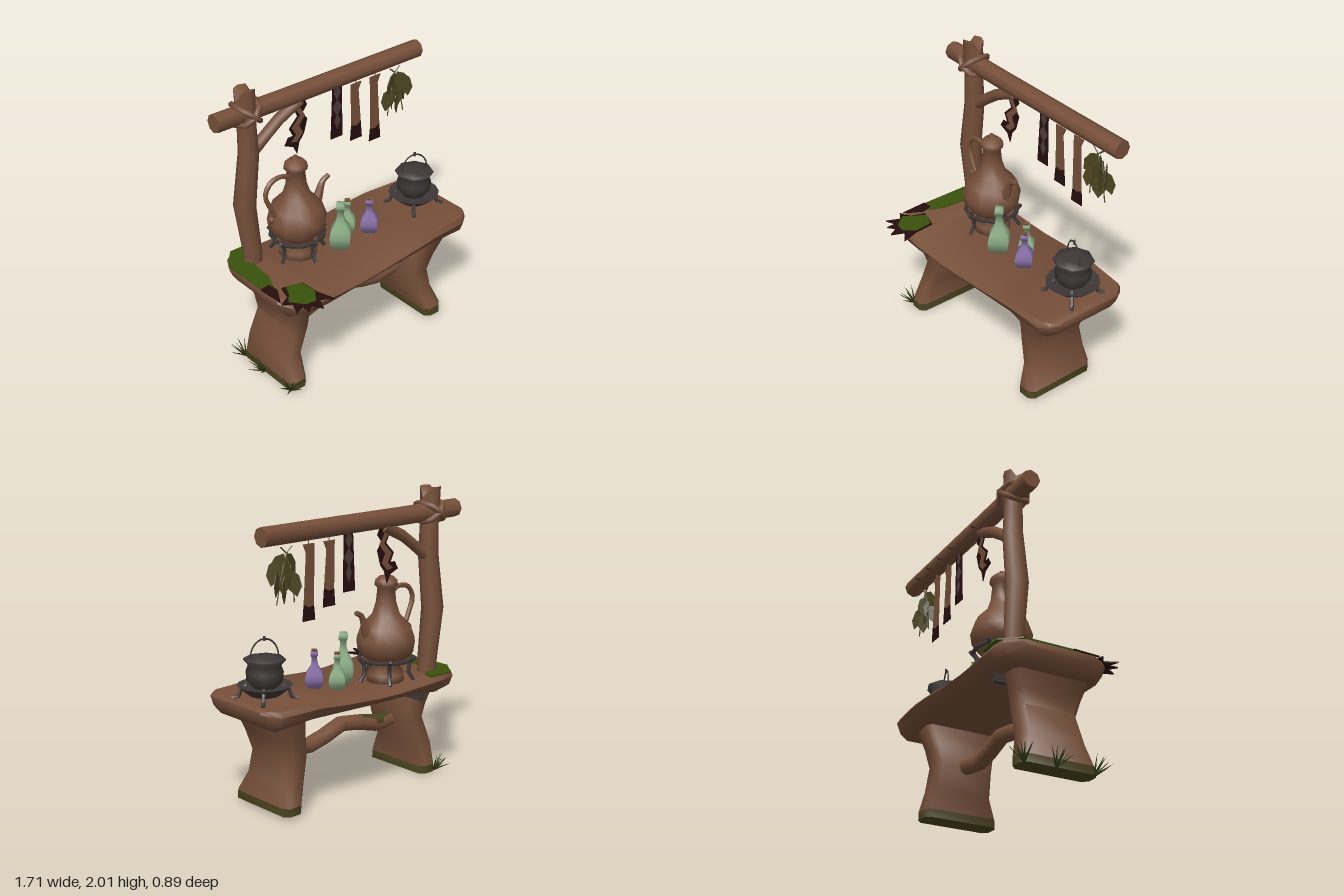
import * as THREE from 'three';
import { toCreasedNormals } from 'three/addons/utils/BufferGeometryUtils.js';

const V = (x, y, z) => new THREE.Vector3(x, y, z);
const material = (name, color) => {
  const m = new THREE.MeshStandardMaterial({ color, side: THREE.DoubleSide });
  m.name = name;
  return m;
};

// Closed skin through rings of points, with fan caps
function loft(rings) {
  const pos = [], n = rings[0].length;
  const tri = (a, b, c) => pos.push(...a.toArray(), ...b.toArray(), ...c.toArray());
  for (let i = 0; i + 1 < rings.length; i++) for (let j = 0; j < n; j++) {
    const k = (j + 1) % n, a = rings[i], b = rings[i + 1];
    tri(a[j], a[k], b[k]);
    tri(a[j], b[k], b[j]);
  }
  const cap = (r, flip) => {
    const c = r.reduce((s, p) => s.add(p), V(0, 0, 0)).divideScalar(n);
    r.forEach((p, j) => flip ? tri(c, r[(j + 1) % n], p) : tri(c, p, r[(j + 1) % n]));
  };
  cap(rings[0], true);
  cap(rings[rings.length - 1], false);
  // turn the skin outward if its signed volume is negative
  let vol = 0;
  const p = i => V(pos[i], pos[i + 1], pos[i + 2]);
  for (let i = 0; i < pos.length; i += 9) vol += p(i).dot(p(i + 3).cross(p(i + 6)));
  if (vol < 0) for (let i = 0; i < pos.length; i += 9) for (let j = 0; j < 3; j++)
    [pos[i + 3 + j], pos[i + 6 + j]] = [pos[i + 6 + j], pos[i + 3 + j]];
  const g = new THREE.BufferGeometry();
  g.setAttribute('position', new THREE.Float32BufferAttribute(pos, 3));
  return toCreasedNormals(g, 0.95);
}

// Rod along a polyline; radius is a number or one value per point
function rodRings(points, radius, sides = 8) {
  return points.map((c, i) => {
    const t = points[Math.min(i + 1, points.length - 1)].clone().sub(points[Math.max(i - 1, 0)]).normalize();
    const u = (Math.abs(t.z) > 0.9 ? V(1, 0, 0) : V(0, 0, 1)).cross(t).normalize();
    const w = t.clone().cross(u), r = Array.isArray(radius) ? radius[i] : radius;
    return Array.from({ length: sides }, (_, j) => {
      const a = j / sides * Math.PI * 2;
      return c.clone().addScaledVector(u, r * Math.cos(a)).addScaledVector(w, r * Math.sin(a));
    });
  });
}
const rod = (points, radius, sides) => loft(rodRings(points, radius, sides));
const flatPath = (list, z) => list.map(([x, y]) => V(x, y, z));
const smooth = (points, n) => new THREE.CatmullRomCurve3(points).getPoints(n);
const lathe = (profile, sides) => toCreasedNormals(
  new THREE.LatheGeometry(profile.map(([r, y]) => new THREE.Vector2(r, y)), sides), 1.7);

// Thin plates, upright (x, y) or lying (x, z)
function plate(points, depth, z = 0) {
  const g = new THREE.ExtrudeGeometry(new THREE.Shape(points.map(p => new THREE.Vector2(...p))),
    { depth, bevelEnabled: false });
  return g.translate(0, 0, z - depth / 2);
}
const lying = (points, depth, y) => plate(points.map(([x, z]) => [x, -z]), depth).rotateX(-Math.PI / 2).translate(0, y, 0);

export function createModel() {
  const root = new THREE.Group();
  const wood = material('wood brown', 0x77503a), iron = material('dark iron', 0x3e3837);
  const olive = material('olive moss', 0x4b4420), moss = material('green moss', 0x3a520c);
  const maroon = material('dark maroon', 0x260d0d), meat = material('grey meat', 0x4e3d3b);
  const green = material('green glass', 0x8fb088), purple = material('purple glass', 0x8a72aa);
  const grass = material('grass green', 0x2e3a12);
  const add = (name, geometry, mat, parent = root) => {
    const m = new THREE.Mesh(geometry, mat);
    m.name = name;
    parent.add(m);
    return m;
  };

  // Table slab: stations of x, bottom, top, back z, front z
  add('tableTop', loft([
    [-0.775, 0.69, 0.745, -0.32, 0.2], [-0.71, 0.615, 0.75, -0.43, 0.3], [-0.6, 0.61, 0.745, -0.45, 0.33],
    [-0.45, 0.625, 0.73, -0.45, 0.34], [-0.2, 0.64, 0.715, -0.45, 0.33], [0, 0.64, 0.72, -0.45, 0.32],
    [0.3, 0.65, 0.745, -0.45, 0.31], [0.5, 0.65, 0.765, -0.435, 0.3], [0.78, 0.62, 0.765, -0.41, 0.28],
    [0.835, 0.66, 0.765, -0.36, 0.24], [0.87, 0.71, 0.76, -0.31, 0.19],
  ].map(([x, b, t, z0, z1]) => {
    const h = t - b;
    return [[t, z0 + 0.02], [t, z1 - 0.02], [t - h * 0.25, z1], [b + h * 0.25, z1 - 0.03], [b, z1 - 0.08],
      [b, z0 + 0.08], [b + h * 0.25, z0 + 0.03], [t - h * 0.25, z0]].map(([y, z]) => V(x, y, z));
  })), wood);

  // Board legs with mossy feet: levels of y, x range, z range
  const legRing = ([y, x0, x1, z0, z1]) => {
    const c = 0.035;
    return [[x0 + c, z0], [x1 - c, z0], [x1, z0 + c], [x1, z1 - c], [x1 - c, z1], [x0 + c, z1], [x0, z1 - c], [x0, z0 + c]]
      .map(([x, z]) => V(x, y, z));
  };
  const legs = {
    left: [[0, -0.71, -0.565, -0.3, 0.23], [0.055, -0.71, -0.565, -0.3, 0.225], [0.2, -0.7, -0.55, -0.275, 0.16],
      [0.4, -0.625, -0.47, -0.26, 0.15], [0.5, -0.635, -0.48, -0.28, 0.18], [0.65, -0.67, -0.5, -0.32, 0.23]],
    right: [[0.015, 0.515, 0.665, -0.3, 0.23], [0.07, 0.51, 0.665, -0.3, 0.225], [0.2, 0.47, 0.63, -0.275, 0.16],
      [0.36, 0.43, 0.6, -0.26, 0.15], [0.5, 0.455, 0.635, -0.28, 0.18], [0.67, 0.49, 0.7, -0.32, 0.23]],
  };
  for (const [side, levels] of Object.entries(legs)) {
    add(side + 'LegFoot', loft(levels.slice(0, 2).map(legRing)), olive);
    add(side + 'Leg', loft(levels.slice(1).map(legRing)), wood);
  }
  add('underPlate', new THREE.BoxGeometry(0.03, 0.07, 0.27).translate(-0.49, 0.6, -0.23), iron);

  // Wavy stretcher with a moss patch
  add('stretcher', rod(flatPath([[-0.53, 0.38], [-0.36, 0.36], [-0.2, 0.405], [-0.03, 0.43], [0.13, 0.375],
    [0.26, 0.345], [0.48, 0.375]], -0.05), 0.055), wood);
  add('stretcherMoss', rod(flatPath([[-0.47, 0.385], [-0.36, 0.372], [-0.2, 0.415]], -0.05), [0.045, 0.052, 0.045]), olive);

  // Crooked post with a notched top
  const postRings = rodRings(flatPath([[-0.605, 0.7], [-0.6, 0.8], [-0.645, 1.18], [-0.595, 1.55], [-0.6, 1.75],
    [-0.605, 2]], -0.29), [0.065, 0.065, 0.075, 0.068, 0.062, 0.068]);
  postRings.at(-1).forEach(p => { if (Math.abs(p.z + 0.29) < 0.02) p.y -= 0.07; });
  add('post', loft(postRings), wood);
  add('beam', rod(flatPath([[-0.84, 1.835], [-0.3, 1.83], [0.84, 1.828]], -0.295), 0.062), wood);
  add('brace', rod(flatPath([[-0.58, 1.53], [-0.45, 1.63], [-0.35, 1.7], [-0.18, 1.78]], -0.29), 0.038), wood);
  for (const s of [-1, 1]) {
    const rope = add('ropeBinding', new THREE.TorusGeometry(0.1, 0.02, 6, 8).rotateX(Math.PI / 2), wood);
    rope.position.set(-0.6, 1.835, -0.29);
    rope.rotation.z = s * 0.7;
  }
  for (const x of [-0.19, 0.13, 0.295, 0.46, 0.63])
    add('nail', new THREE.CylinderGeometry(0.008, 0.008, 0.03, 6).rotateX(Math.PI / 2).translate(x, 1.8, -0.36), iron);

  // Pitcher on an iron stand
  const pitcher = new THREE.Group();
  pitcher.name = 'pitcher';
  root.add(pitcher);
  add('pitcherBody', lathe([[0, 0.72], [0.13, 0.72], [0.125, 0.77], [0.09, 0.83], [0.15, 0.885], [0.19, 0.93],
    [0.2, 1], [0.17, 1.09], [0.095, 1.17], [0.07, 1.25], [0.06, 1.35], [0.08, 1.37], [0.075, 1.4], [0.05, 1.425],
    [0.015, 1.43], [0.015, 1.455], [0, 1.455]], 12).translate(-0.295, 0, -0.2), wood, pitcher);
  add('pitcherSpout', rod(smooth(flatPath([[-0.15, 1.02], [-0.11, 1.12], [-0.08, 1.19], [-0.03, 1.215]], -0.19), 6),
    [0.04, 0.035, 0.028, 0.024, 0.02, 0.018, 0.016], 6), wood, pitcher);
  add('pitcherHandle', rod(smooth(flatPath([[-0.34, 1.31], [-0.41, 1.345], [-0.5, 1.33], [-0.545, 1.25], [-0.51, 1.15],
    [-0.475, 1.07]], -0.2), 12), 0.017, 6), wood, pitcher);
  add('handleKnob', new THREE.SphereGeometry(0.025, 6, 5).translate(-0.505, 1.055, -0.2), wood, pitcher);
  add('pitcherStandRing', new THREE.TorusGeometry(0.18, 0.014, 5, 12).rotateX(Math.PI / 2).translate(-0.295, 0.875, -0.2), iron, pitcher);

  // Splayed iron legs around a centre
  const ironLegs = (name, cx, cz, count, turn, profile, r, parent) => {
    for (let i = 0; i < count; i++) {
      const a = turn + i / count * Math.PI * 2;
      add(name, rod(profile.map(([d, y]) => V(cx + d * Math.cos(a), y, cz + d * Math.sin(a))), r, 5), iron, parent);
    }
  };
  ironLegs('pitcherStandLeg', -0.295, -0.2, 5, 0.3, [[0.2, 0.89], [0.16, 0.84], [0.155, 0.78], [0.19, 0.725]], 0.014, pitcher);

  // Four-sided bottles: x, z, base y, height, radius
  const bottle = (name, x, z, y, h, r, mat, corked) => {
    add(name, lathe([[0, 0], [0.6, 0], [0.93, 0.13], [1, 0.27], [0.85, 0.42], [0.45, 0.58], [0.32, 0.7], [0.3, 0.85],
      [0.42, 0.88], [0.42, 0.93], [0.36, 1], [0, 1]].map(([a, b]) => [a * r, b * h]), 4).translate(x, y, z), mat);
    if (corked) add(name + 'Cork', new THREE.CylinderGeometry(0.026, 0.022, 0.02, 4).translate(x, y + h, z), wood);
  };
  bottle('largeGreenBottle', -0.04, -0.06, 0.72, 0.34, 0.098, green, false);
  bottle('smallGreenBottle', 0.115, -0.17, 0.73, 0.235, 0.075, green, true);
  bottle('purpleBottle', 0.22, -0.065, 0.735, 0.25, 0.082, purple, true);

  // Cauldron over a jagged fire dish
  const cauldron = new THREE.Group();
  cauldron.name = 'cauldron';
  root.add(cauldron);
  const cx = 0.665, cz = -0.1;
  add('cauldronPot', lathe([[0, 0.83], [0.08, 0.84], [0.115, 0.88], [0.12, 0.94], [0.105, 0.98], [0.135, 1.015],
    [0.13, 1.025], [0.06, 1.035], [0, 1.035]], 8).translate(cx, 0, cz), iron, cauldron);
  const dish = new THREE.LatheGeometry([[0, 0.79], [0.1, 0.79], [0.19, 0.86], [0.1, 0.84], [0, 0.83]]
    .map(p => new THREE.Vector2(...p)), 14).toNonIndexed();
  const dp = dish.attributes.position;
  for (let i = 0; i < dp.count; i++) {
    const x = dp.getX(i), z = dp.getZ(i);
    if (Math.hypot(x, z) < 0.15) continue;
    const s = 0.93 + 0.1 * Math.cos(7 * Math.atan2(z, x));
    dp.setXYZ(i, x * s, 0.855 + (s - 0.93) * 0.25, z * s);
  }
  dish.computeVertexNormals();
  add('fireDish', dish.translate(cx, 0, cz), iron, cauldron);
  ironLegs('fireDishLeg', cx, cz, 4, 0.75, [[0.11, 0.85], [0.15, 0.83], [0.165, 0.78], [0.205, 0.765]], 0.014, cauldron);
  add('cauldronBail', new THREE.TorusGeometry(0.095, 0.005, 4, 14, Math.PI).scale(1, 1.25, 1).rotateY(-0.3)
    .translate(cx, 1.03, cz), iron, cauldron);
  add('bailHook', new THREE.CylinderGeometry(0.008, 0.008, 0.03, 5).translate(cx, 1.15, cz), iron, cauldron);

  // Hanging meats
  const hz = -0.29;
  add('curledMeatEdge', plate([[-0.2, 1.79], [-0.14, 1.77], [-0.12, 1.73], [-0.16, 1.68], [-0.12, 1.63], [-0.15, 1.53],
    [-0.19, 1.48], [-0.21, 1.4], [-0.24, 1.46], [-0.31, 1.49], [-0.28, 1.54], [-0.24, 1.54], [-0.27, 1.6], [-0.2, 1.67],
    [-0.23, 1.73]], 0.004, hz), maroon);
  add('curledMeat', plate([[-0.22, 1.79], [-0.17, 1.79], [-0.18, 1.73], [-0.14, 1.66], [-0.19, 1.6], [-0.16, 1.54],
    [-0.21, 1.49], [-0.26, 1.5], [-0.215, 1.54], [-0.25, 1.6], [-0.18, 1.67], [-0.22, 1.73]], 0.009, hz), wood);
  add('darkStrip', plate([[0.095, 1.79], [0.17, 1.79], [0.175, 1.4], [0.075, 1.4]], 0.006, hz), maroon);
  for (const [y, w] of [[1.73, 0.03], [1.62, 0.04], [1.52, 0.025]])
    add('stripMarbling', plate([[0.13, y + 0.06], [0.13 + w, y], [0.13, y - 0.06], [0.13 - w, y]], 0.009, hz), meat);
  for (const [x, bottom, split] of [[0.295, 1.33, 1.44], [0.463, 1.265, 1.36]]) {
    const w = 0.05 - 0.01;
    add('driedStrip', plate([[x - 0.045, 1.745], [x + 0.045, 1.745], [x + 0.02, 1.69], [x + w, split + 0.01], [x, split - 0.01],
      [x - w, split]], 0.007, hz), wood);
    add('driedStripEnd', plate([[x - w, split], [x, split - 0.01], [x + w, split + 0.01], [x + 0.05, bottom], [x - 0.05, bottom]], 0.007, hz), maroon);
    add('stripString', rod([V(x, 1.74, hz), V(x, 1.8, hz)], 0.005, 4), wood);
  }

  // Herb bunch: bent leaves at several angles
  for (const s of [-1, 1]) add('herbStem', rod(flatPath([[0.64 + s * 0.045, 1.75], [0.64, 1.71], [0.64 - s * 0.05, 1.55], [0.65 - s * 0.07, 1.4]], hz), 0.005, 4), olive);
  const leaf = plate([[0, 0], [0.038, -0.04], [0.042, -0.11], [0, -0.17], [-0.042, -0.11], [-0.038, -0.04]], 0.006);
  for (const [x, y, turn, tilt] of [[0.64, 1.71, 0.3, -0.6], [0.66, 1.71, -0.5, 0.5], [0.61, 1.63, 0.9, -0.25], [0.65, 1.62, -0.2, 0.1],
    [0.7, 1.62, 0.5, 0.35], [0.64, 1.68, 1.4, 0.1], [0.66, 1.57, 0.6, 0], [0.72, 1.68, -0.9, 0.2], [0.6, 1.6, -0.5, -0.2]]) {
    const m = add('herbLeaf', leaf, olive);
    m.position.set(x, y, hz);
    m.rotation.set(0, turn, tilt);
  }

  // Moss and ragged growth on the table's left end
  add('tableMoss', lying([[-0.775, -0.32], [-0.67, -0.45], [-0.48, -0.445], [-0.5, -0.37], [-0.6, -0.3], [-0.64, -0.2],
    [-0.65, -0.05], [-0.7, 0.06], [-0.775, 0.08]], 0.009, 0.752), moss);
  add('mossSkirt', lying([[-0.78, 0.03], [-0.71, 0.02], [-0.7, 0.1], [-0.74, 0.17], [-0.77, 0.22]], 0.008, 0.754), maroon);
  add('raggedEdge', lying([[-0.67, 0.1], [-0.53, 0.14], [-0.52, 0.28], [-0.48, 0.41], [-0.56, 0.35], [-0.6, 0.44],
    [-0.64, 0.37], [-0.69, 0.41], [-0.69, 0.34], [-0.76, 0.37], [-0.72, 0.28], [-0.78, 0.24], [-0.7, 0.2]], 0.008, 0.753), maroon);
  add('raggedMoss', lying([[-0.64, 0.11], [-0.54, 0.15], [-0.53, 0.27], [-0.59, 0.35], [-0.66, 0.34], [-0.73, 0.25], [-0.68, 0.19]], 0.007, 0.76), moss);

  // Grass tufts by the left foot
  const blade = new THREE.ConeGeometry(0.009, 0.14, 3).translate(0, 0.07, 0);
  for (const [x, z, facing] of [[-0.7, 0.2, 0.9], [-0.71, -0.07, 0], [-0.7, -0.28, -0.9]])
    for (let i = 0; i < 8; i++) {
      const a = facing + (i - 3.5) * 0.3, lean = 0.4 + (i * 5 % 8) * 0.1;
      const m = add('grassBlade', blade, grass);
      m.position.set(x, 0, z);
      m.quaternion.setFromUnitVectors(V(0, 1, 0), V(-Math.sin(lean) * Math.cos(a), Math.cos(lean), Math.sin(lean) * Math.sin(a)));
    }
  return root;
}
